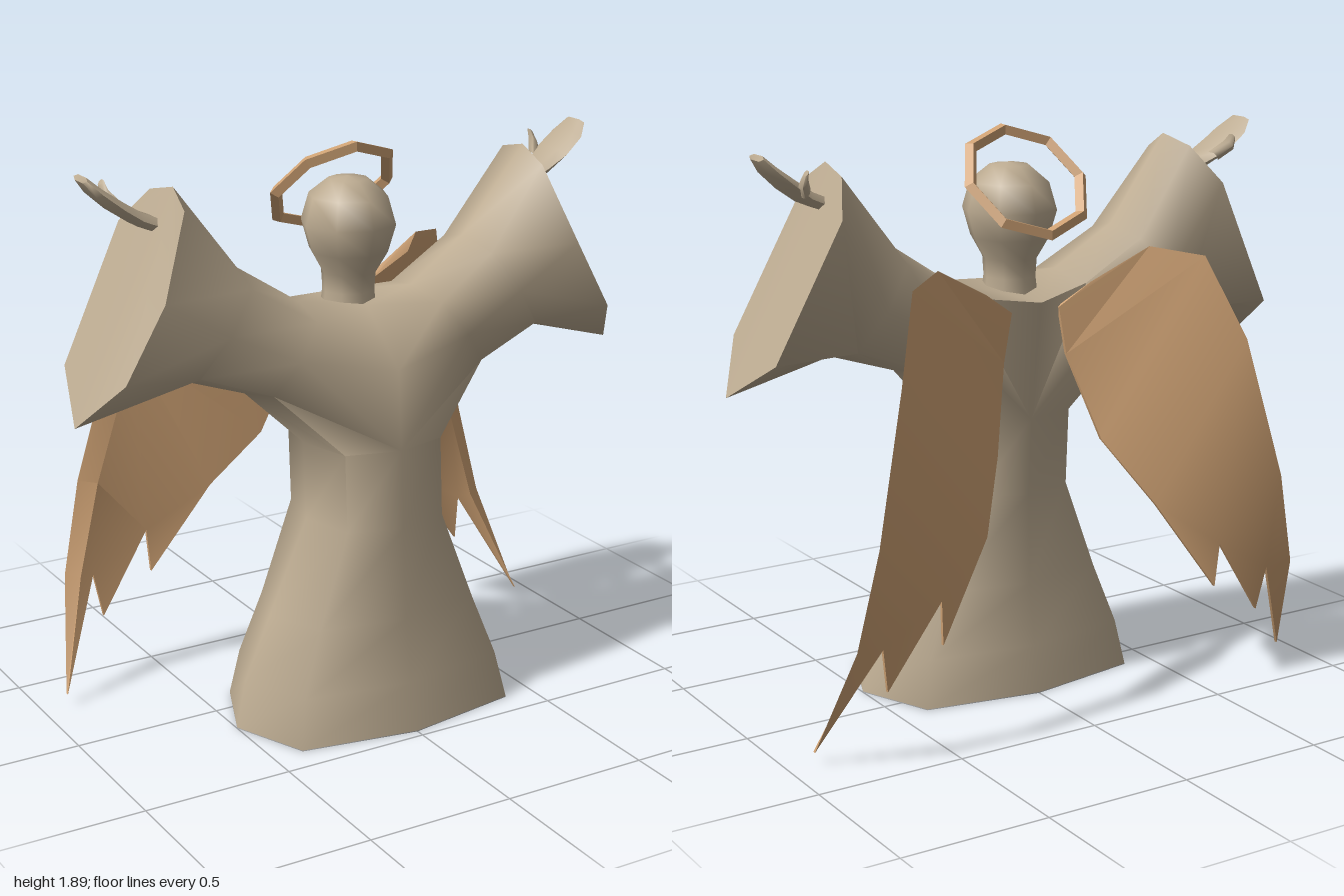
import * as THREE from 'three';
import { toCreasedNormals } from 'three/addons/utils/BufferGeometryUtils.js';

const robeMat = new THREE.MeshStandardMaterial({ color: 0xbcab91 });
robeMat.name = 'stone';
const wingMat = new THREE.MeshStandardMaterial({ color: 0xcfa274 });
wingMat.name = 'tan';
const hemMat = new THREE.MeshStandardMaterial({ color: 0xb0b0b0 });
hemMat.name = 'grey';

function addMesh(parent, name, geometry, material) {
  const mesh = new THREE.Mesh(geometry, material);
  mesh.name = name;
  parent.add(mesh);
  return mesh;
}

// Triangles (as point triples) turned outward by their volume about the centre
function outward(points, tris) {
  const pts = points.map((p) => new THREE.Vector3(...p));
  const centre = pts.reduce((sum, p) => sum.add(p), new THREE.Vector3()).divideScalar(pts.length);
  pts.forEach((p) => p.sub(centre));
  const cross = new THREE.Vector3();
  let volume = 0;
  for (const [a, b, c] of tris) volume += pts[a].dot(cross.crossVectors(pts[b], pts[c]));
  return tris.map(([a, b, c]) => (volume < 0 ? [a, c, b] : [a, b, c]).map((i) => points[i]));
}

// Mirrored copy across x
const mirror = (faces) => faces.map(([a, b, c]) => [a, c, b].map(([x, y, z]) => [-x, y, z]));
const forSide = (faces, side) => (side > 0 ? faces : mirror(faces));

function toGeometry(faces, crease) {
  const g = new THREE.BufferGeometry();
  g.setAttribute('position', new THREE.Float32BufferAttribute(faces.flat(2), 3));
  return toCreasedNormals(g, crease);
}

// Skin over equal-sized rings with a cap on the last one
function loft(rings) {
  const n = rings[0].length;
  const tris = [];
  for (let r = 0; r < rings.length - 1; r++) {
    for (let i = 0; i < n; i++) {
      const a = r * n + i, b = r * n + (i + 1) % n;
      tris.push([a, b, b + n], [a, b + n, a + n]);
    }
  }
  const last = (rings.length - 1) * n;
  for (let i = 1; i < n - 1; i++) tris.push([last, last + i, last + i + 1]);
  return outward(rings.flat(), tris);
}

// Full-cornered octagon: [along, across] factors
const OCT = [[1, 0], [0.79, 0.79], [0, 1], [-0.79, 0.79], [-1, 0], [-0.79, -0.79], [0, -1], [0.79, -0.79]];

// Horizontal robe ring
const robeRing = (y, halfX, front, back) => OCT.map(([u, v]) =>
  [u * halfX, y, (front + back) / 2 + v * (front - back) / 2]);

// Sleeve ring spanning a top point and a bottom point
const sleeveRing = (tx, ty, bx, by, front, back) => OCT.map(([u, v]) => [
  (tx + bx) / 2 + u * (tx - bx) / 2,
  (ty + by) / 2 + u * (ty - by) / 2,
  (front + back) / 2 + v * (front - back) / 2]);

// Flat six-sided ring for hands, leaning along the palm
const palmRing = (x, y, z, halfZ, thick) => [[0, 1], [1, 0.6], [1, -0.6], [0, -1], [-1, -0.6], [-1, 0.6]]
  .map(([u, v]) => [x - u * thick * 0.6, y + u * thick * 0.8, z + v * halfZ]);

// Skirt and both flared sleeves as one skin, sharing the waist ring and the chest midline
function robeGeometry() {
  const waist = robeRing(0.94, 0.227, 0.355, -0.115);
  const skirt = loft([
    waist,
    robeRing(0.68, 0.227, 0.37, -0.1),
    robeRing(0.37, 0.37, 0.39, -0.105),
    robeRing(0.16, 0.465, 0.43, -0.14),
    robeRing(0.003, 0.5, 0.47, -0.17),
  ]);
  const armhole = [[0, 1.37, 0.14], [0, 1.2, 0.335], waist[2], waist[1],
    waist[0], waist[7], waist[6], [0, 1.34, -0.175]];
  const cuff = [[0.643, 1.815, 0.065], [0.655, 1.76, 0.165], [0.76, 1.5, 0.235], [0.895, 1.265, 0.23],
    [1, 1.105, 0.075], [0.932, 1.24, -0.145], [0.715, 1.67, -0.18], [0.657, 1.785, -0.07]];
  const sleeve = loft([
    armhole,
    sleeveRing(0.21, 1.395, 0.41, 1.12, 0.265, -0.13),
    sleeveRing(0.42, 1.53, 0.65, 1.2, 0.23, -0.135),
    cuff,
  ]);
  return toGeometry([...skirt, ...sleeve, ...mirror(sleeve)], 1.2);
}

function addHand(parent, side) {
  const hand = new THREE.Group();
  hand.name = side > 0 ? 'leftHand' : 'rightHand';
  parent.add(hand);
  // Open palm with a raised thumb
  addMesh(hand, 'palm', toGeometry(forSide(loft([
    palmRing(0.65, 1.68, 0.02, 0.05, 0.022),
    palmRing(0.745, 1.72, 0.015, 0.06, 0.022),
    palmRing(0.81, 1.763, 0, 0.085, 0.02),
    palmRing(0.875, 1.815, -0.005, 0.08, 0.015),
    palmRing(0.912, 1.855, -0.01, 0.05, 0.01),
  ]), side), 1.2), robeMat);
  addMesh(hand, 'thumb', toGeometry(forSide(loft([
    palmRing(0.77, 1.74, -0.05, 0.025, 0.016),
    palmRing(0.8, 1.78, -0.095, 0.025, 0.016),
    palmRing(0.8, 1.812, -0.115, 0.014, 0.01),
  ]), side), 1.2), robeMat);
}

function addWing(parent, side) {
  // Inner feathered edge (0-7), then outer edge down to the tip (8-14)
  const back = [
    [0.09, 1.31, -0.14], [0.12, 1.15, -0.14], [0.2, 0.87, -0.23], [0.325, 0.66, -0.37],
    [0.525, 0.36, -0.435], [0.535, 0.51, -0.445], [0.715, 0.24, -0.42], [0.74, 0.39, -0.44],
    [0.2, 1.385, -0.16], [0.4, 1.49, -0.205], [0.55, 1.46, -0.31], [0.65, 1.19, -0.415],
    [0.765, 0.72, -0.472], [0.835, 0.4, -0.45], [0.91, 0.04, -0.3]];
  // Front face is set in along the outer rim
  const rim = [0, 0, 0, 0, 0, 0, 0, 0, 0.3, 0.8, 1, 1, 0.9, 0.7, 0];
  const front = back.map(([x, y, z], i) =>
    [x - 0.065 * rim[i], y - (i < 11 ? 0.07 : 0.01) * rim[i], z + 0.012 + 0.025 * rim[i]]);
  const faces = [[0, 1, 9], [0, 9, 8], [1, 2, 10], [1, 10, 9], [2, 3, 11], [2, 11, 10], [3, 4, 5],
    [3, 5, 11], [5, 12, 11], [5, 6, 7], [5, 7, 12], [7, 13, 12], [7, 14, 13]];
  const outline = [0, 1, 2, 3, 4, 5, 6, 7, 14, 13, 12, 11, 10, 9, 8];
  const n = back.length;
  const tris = [];
  for (const [a, b, c] of faces) tris.push([a + n, b + n, c + n], [a, c, b]);
  outline.forEach((a, i) => {
    const b = outline[(i + 1) % n];
    tris.push([a, b, b + n], [a, b + n, a + n]);
  });
  addMesh(parent, side > 0 ? 'leftWing' : 'rightWing',
    toGeometry(forSide(outward([...back, ...front], tris), side), 0.45), wingMat);
}

export function createModel() {
  const model = new THREE.Group();
  model.name = 'angel';

  addMesh(model, 'robe', robeGeometry(), robeMat);
  addMesh(model, 'hemBase', toGeometry(loft([
    robeRing(0.003, 0.5, 0.47, -0.17),
    robeRing(0, 0.5, 0.47, -0.17),
  ]), 1.2), hemMat);

  // Head and neck
  const profile = [[0.095, 1.32], [0.086, 1.4], [0.09, 1.46], [0.13, 1.53], [0.156, 1.62],
    [0.13, 1.71], [0.065, 1.763], [0, 1.772]].map(([r, y]) => new THREE.Vector2(r, y));
  const head = addMesh(model, 'head', new THREE.LatheGeometry(profile, 8), robeMat);
  head.scale.z = 1.04;
  head.position.z = 0.02;

  // Tilted octagonal halo
  const ring = toCreasedNormals(new THREE.TorusGeometry(0.207, 0.022, 4, 8), 0.3);
  const halo = addMesh(model, 'halo', ring, wingMat);
  halo.position.set(0, 1.72, -0.082);
  halo.rotation.x = 0.745;

  for (const side of [1, -1]) {
    addHand(model, side);
    addWing(model, side);
  }
  return model;
}
